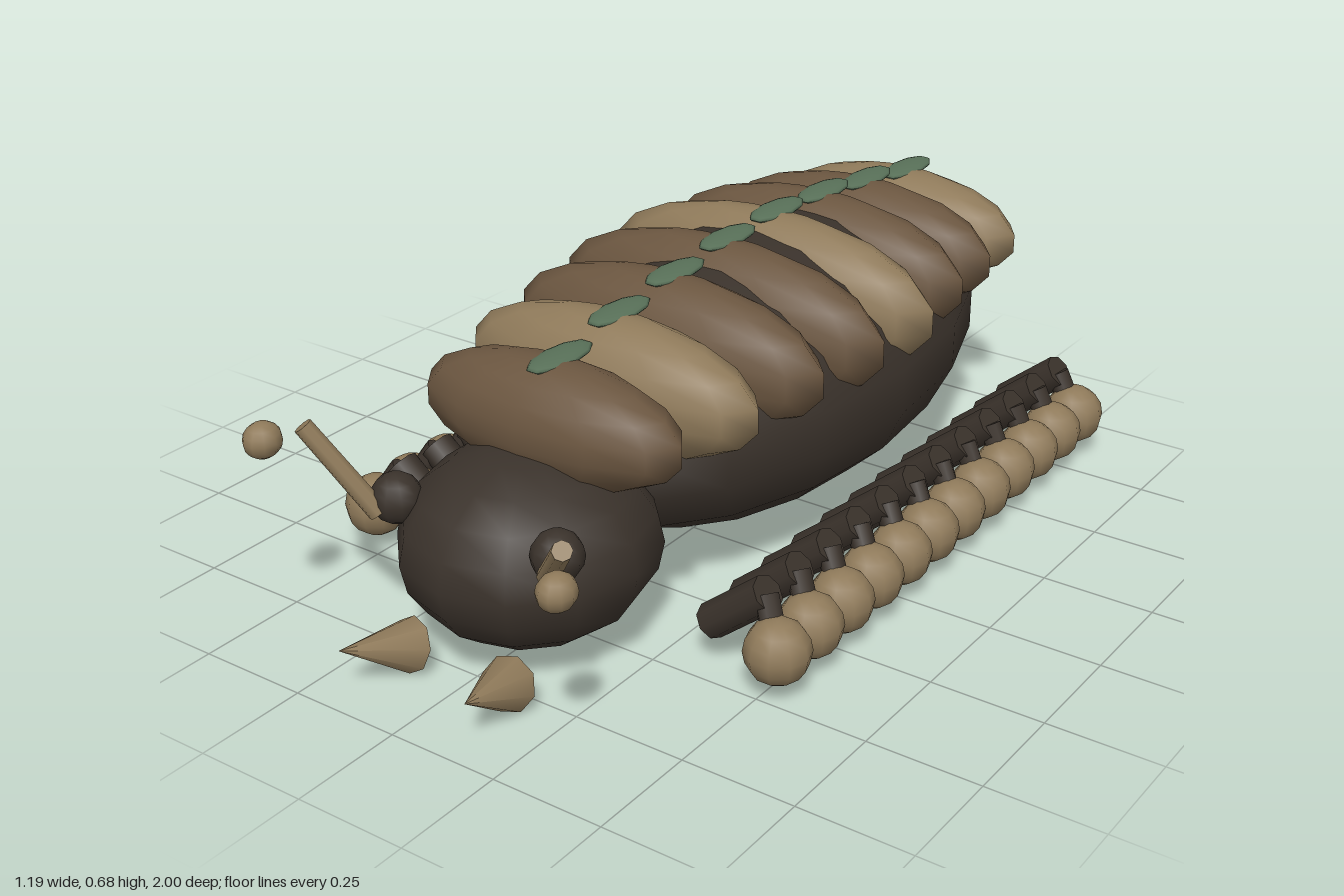
import * as THREE from 'three';

const paint = (name, hex) => {
  const m = new THREE.MeshStandardMaterial({ color: hex });
  m.name = name;
  return m;
};

export function createModel() {
  const model = new THREE.Group();
  model.name = 'armouredCrawler';

  const dark = paint('dark hide', 0x3a322b);
  const brown = paint('brown shell', 0x6b5640);
  const tan = paint('tan shell', 0x8f7a5a);
  const green = paint('green moss', 0x587058);

  const add = (name, geometry, material, parent = model) => {
    const mesh = new THREE.Mesh(geometry, material);
    mesh.name = name;
    parent.add(mesh);
    return mesh;
  };

  // Sphere stretched to the given radii
  const blob = (name, material, pos, radii, ws = 12, hs = 9, parent = model) => {
    const mesh = add(name, new THREE.SphereGeometry(1, ws, hs), material, parent);
    mesh.position.set(...pos);
    mesh.scale.set(...radii);
    return mesh;
  };

  // Cylinder or cone running from a to b
  const rod = (name, material, a, b, ra, rb, sides = 8, parent = model) => {
    const p = new THREE.Vector3(...a), q = new THREE.Vector3(...b);
    const dir = q.clone().sub(p);
    const mesh = add(name, new THREE.CylinderGeometry(rb, ra, dir.length(), sides), material, parent);
    mesh.position.copy(p).add(q).multiplyScalar(0.5);
    mesh.quaternion.setFromUnitVectors(new THREE.Vector3(0, 1, 0), dir.normalize());
    return mesh;
  };

  // Body and head
  blob('body', dark, [0, 0.35, -0.25], [0.39, 0.3, 0.74], 16, 9);
  blob('head', dark, [0, 0.24, 0.57], [0.268, 0.204, 0.28], 12, 10);

  // Back plates, each with a mossy spot on the spine: [half width, top]
  const plates = [
    [0.322, 0.605], [0.368, 0.635], [0.397, 0.657], [0.423, 0.673],
    [0.43, 0.678], [0.395, 0.665], [0.36, 0.64], [0.322, 0.61],
  ];
  plates.forEach(([w, top], i) => {
    const z = 0.49 - 0.196 * i;
    const h = 0.4 * w;
    blob('backPlate', i % 3 === 1 ? tan : brown, [0, top - h, z], [w, h, 0.122]);
    blob('spineSpot', green, [0, top - 0.008, z - 0.03], [0.04, 0.012, 0.095], 10, 8);
  });

  for (const s of [1, -1]) {
    const side = new THREE.Group();
    side.name = s > 0 ? 'leftSide' : 'rightSide';
    model.add(side);

    // Row of twelve legs
    for (let i = 0; i < 12; i++) {
      const z = 0.43 - 0.1155 * i;
      const foot = 0.465 - 0.1182 * i;
      rod('leg', dark, [s * 0.345, 0.095, z], [s * 0.479, 0.205, z], 0.039, 0.039, 8, side);
      rod('shin', dark, [s * 0.475, 0.2, z], [s * 0.525, 0.11, foot], 0.026, 0.026, 8, side);
      blob('foot', tan, [s * 0.526, 0.108, foot], [0.07, 0.07, 0.07], 10, 8, side);
    }

    // Eye and jaw
    blob('eye', dark, [s * 0.203, 0.34, 0.735], [0.054, 0.054, 0.054], 10, 8, side);
    rod('jaw', tan, [s * 0.125, 0.06, 0.8], [s * 0.16, 0.118, 0.968], 0.059, 0, 8, side);
  }

  // Feelers, swung to slightly different angles
  rod('leftFeeler', tan, [0.215, 0.32, 0.78], [0.345, 0.47, 0.895], 0.022, 0.02);
  blob('leftFeelerTip', tan, [0.379, 0.427, 0.955], [0.038, 0.038, 0.042], 10, 8);
  rod('rightFeeler', tan, [-0.215, 0.32, 0.775], [-0.335, 0.505, 0.845], 0.022, 0.02);
  blob('rightFeelerTip', tan, [-0.38, 0.488, 0.91], [0.038, 0.038, 0.042], 10, 8);

  return model;
}
